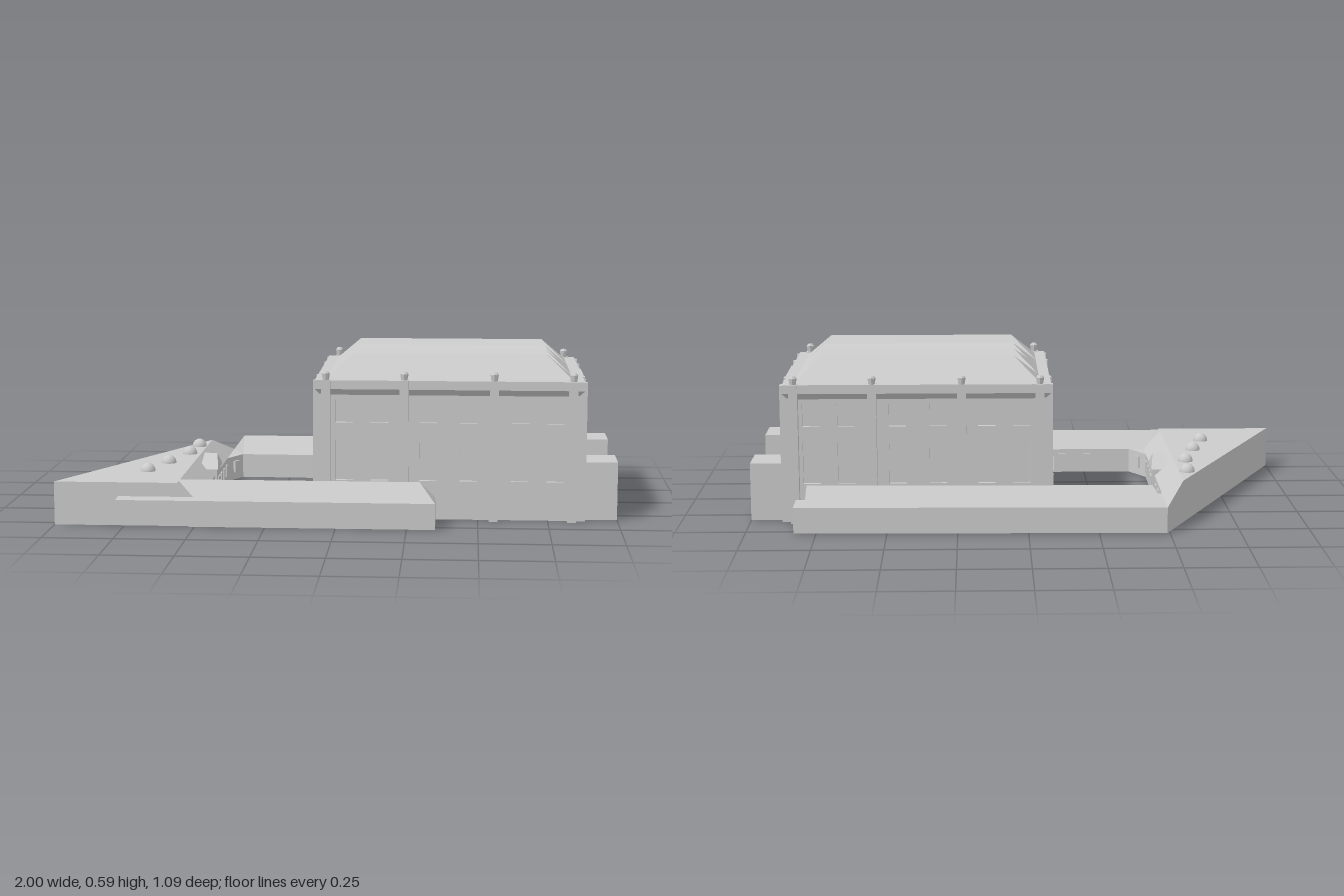
import * as THREE from 'three';

const mat = new THREE.MeshStandardMaterial({ color: 0xcccccc, flatShading: true });
const smooth = new THREE.MeshStandardMaterial({ color: 0xcccccc });

function add(parent, name, geo, x = 0, y = 0, z = 0, material = mat) {
  const m = new THREE.Mesh(geo, material);
  m.name = name;
  m.position.set(x, y, z);
  parent.add(m);
  return m;
}

// Box given by its limits
function box(parent, name, x0, x1, y0, y1, z0, z1) {
  return add(parent, name, new THREE.BoxGeometry(x1 - x0, y1 - y0, z1 - z0),
    (x0 + x1) / 2, (y0 + y1) / 2, (z0 + z1) / 2);
}

// Flat faces, each a counter-clockwise list of [x, y, z], cut as a fan
function facets(faces) {
  const pos = [];
  for (const f of faces)
    for (let i = 1; i < f.length - 1; i++) pos.push(...f[0], ...f[i], ...f[i + 1]);
  const g = new THREE.BufferGeometry();
  g.setAttribute('position', new THREE.Float32BufferAttribute(pos, 3));
  g.computeVertexNormals();
  return g;
}

// Roof from four eave corners (front left, front right, back right, back left) and two ridge ends
const hipRoof = (A, B, C, D, P, Q) => facets([[A, B, Q, P], [C, D, P, Q], [B, C, Q], [D, A, P], [D, C, B, A]]);

// Hipped roof along x over a [z, y] section listed front to back; apex starts the end fans
function sectionRoof(section, apex) {
  const k = 1.1, base = 0.5;
  const L = section.map(([z, y]) => [-0.05 + (y - base) * k, y, z]);
  const R = section.map(([z, y]) => [0.84 - (y - base) * k, y, z]);
  const faces = [];
  for (let i = 0; i < section.length - 1; i++) faces.push([L[i], R[i], R[i + 1], L[i + 1]]);
  const turn = a => [...a.slice(apex), ...a.slice(0, apex)];
  const right = turn(R), left = turn(L);
  // ends run front-eave, back-eave, then over the ridges
  faces.push([right[0], ...right.slice(1).reverse()], left);
  return facets(faces);
}

// Wall panel with square upper and arched lower window openings
function facade(length, centres) {
  const s = new THREE.Shape();
  s.moveTo(-length / 2, 0).lineTo(length / 2, 0).lineTo(length / 2, 0.46).lineTo(-length / 2, 0.46).closePath();
  const w = 0.031;
  for (const c of centres) {
    const sq = new THREE.Path();
    sq.moveTo(c - w, 0.35).lineTo(c - w, 0.432).lineTo(c + w, 0.432).lineTo(c + w, 0.35).closePath();
    const arch = new THREE.Path();
    arch.moveTo(c - w, 0.14).lineTo(c + w, 0.14).lineTo(c + w, 0.283);
    arch.absarc(c, 0.283, w, 0, Math.PI, false);
    arch.closePath();
    s.holes.push(sq, arch);
  }
  return new THREE.ExtrudeGeometry(s, { depth: 0.014, bevelEnabled: false, curveSegments: 8 });
}

function buildHouse() {
  const g = new THREE.Group();
  g.name = 'mainBuilding';
  box(g, 'core', -0.051, 0.841, 0, 0.5, -0.341, 0.341);

  // Window walls on all four sides
  const cx = 0.395;
  const longWin = [0.02, 0.145, 0.32, 0.465, 0.65, 0.775].map(x => x - cx);
  const endWin = [-0.26, -0.13, 0, 0.13, 0.26];
  add(g, 'frontWall', facade(0.92, longWin), cx, 0, 0.341);
  add(g, 'backWall', facade(0.92, longWin.map(x => -x)), cx, 0, -0.341).rotation.y = Math.PI;
  add(g, 'leftWall', facade(0.71, endWin), 0.841, 0, 0).rotation.y = Math.PI / 2;
  add(g, 'rightWall', facade(0.71, endWin), -0.051, 0, 0).rotation.y = -Math.PI / 2;
  add(g, 'centreBay', facade(0.33, [-0.13, 0, 0.13]), 0.868, 0, 0).rotation.y = Math.PI / 2;
  box(g, 'centreBayBacking', 0.85, 0.869, 0, 0.46, -0.164, 0.164);
  box(g, 'centreBayParapet', 0.84, 0.89, 0.45, 0.485, -0.165, 0.165);

  // Cornice flaring out to the parapet
  const ring = (x0, x1, z, y) => [[x0, y, z], [x1, y, z], [x1, y, -z], [x0, y, -z]];
  const lo = ring(-0.065, 0.855, 0.355, 0.45), hi = ring(-0.085, 0.875, 0.372, 0.472);
  add(g, 'cornice', facets(lo.map((p, i) => [p, lo[(i + 1) % 4], hi[(i + 1) % 4], hi[i]])));
  box(g, 'parapet', -0.085, 0.875, 0.472, 0.504, -0.372, 0.372);

  // Pilasters with finials on the long sides, plain ones on the ends
  for (const s of [-1, 1]) {
    for (const x of [-0.045, 0.235, 0.555, 0.835]) {
      box(g, 'pilaster', x - 0.016, x + 0.016, 0, 0.506, s * 0.367 - 0.019, s * 0.367 + 0.019);
      add(g, 'finialShaft', new THREE.CylinderGeometry(0.015, 0.011, 0.024, 8), x, 0.517, s * 0.37);
      add(g, 'finialCap', new THREE.CylinderGeometry(0.009, 0.015, 0.008, 8), x, 0.532, s * 0.37);
    }
    for (const z of [0.342, 0.182]) {
      const c = s * z;
      box(g, 'endPilaster', 0.85, 0.885, 0, 0.5, c - 0.016, c + 0.016);
      box(g, 'endPilaster', -0.092, -0.06, 0, 0.5, c - 0.016, c + 0.016);
    }
    // Square annexes at the end
    const m = s * 0.252;
    box(g, 'annex', 0.85, 1, 0, 0.21, m - 0.077, m + 0.077);
  }

  // Gabled entrance porch with a framed door
  box(g, 'porch', -0.105, -0.06, 0, 0.12, -0.05, 0.05);
  add(g, 'porchRoof', hipRoof([-0.108, 0.12, 0.054], [-0.06, 0.12, 0.054], [-0.06, 0.12, -0.054],
    [-0.108, 0.12, -0.054], [-0.108, 0.16, 0], [-0.06, 0.16, 0]));
  box(g, 'porchDoor', -0.109, -0.1, 0, 0.09, -0.025, 0.025);

  // Two outer hipped roofs and the double roof between
  add(g, 'frontRoof', sectionRoof([[0.33, 0.504], [0.252, 0.588], [0.17, 0.504]], 1));
  add(g, 'middleRoof', sectionRoof([[0.165, 0.504], [0.065, 0.585], [0, 0.54], [-0.065, 0.585], [-0.16, 0.504]], 2));
  add(g, 'backRoof', sectionRoof([[-0.16, 0.504], [-0.245, 0.588], [-0.335, 0.504]], 1));
  return g;
}

// Extruded footprint of [x, z] points
function footprint(points, height) {
  const s = new THREE.Shape(points.map(([x, z]) => new THREE.Vector2(x, -z)));
  return new THREE.ExtrudeGeometry(s, { depth: height, bevelEnabled: false }).rotateX(-Math.PI / 2);
}

function buildCourt() {
  const g = new THREE.Group();
  g.name = 'courtyardRanges';
  const eave = 0.093, top = 0.155, ridge = 0.16;

  // Triangular block with a splayed court side
  add(g, 'triangleBase', footprint([[-1, 0.53], [-0.43, 0.53], [-0.43, 0.43], [-0.49, 0.33],
    [-0.49, -0.33], [-0.44, -0.43], [-0.44, -0.5], [-0.49, -0.55]], eave));
  const a = [-1, eave, 0.53], b = [-0.49, eave, 0.53], c = [-0.49, eave, -0.55];
  const A = [-1, top, 0.53], B = [-0.56, top, 0.53], C = [-0.56, top, -0.402];
  add(g, 'triangleRoof', facets([[a, b, B, A], [b, c, C, B], [c, a, A, C], [A, B, C]]));
  for (const [x, z] of [[-0.59, -0.25], [-0.602, -0.075], [-0.652, 0.125], [-0.702, 0.298]]) {
    const d = add(g, 'skylightDome',
      new THREE.SphereGeometry(0.028, 16, 6, 0, Math.PI * 2, 0, Math.PI / 2), x, top, z, smooth);
    d.scale.y = 1.05;
  }

  // Gatehouse with a small gable
  box(g, 'gatehouse', -0.54, -0.482, 0, 0.125, -0.05, 0.05);
  add(g, 'gatehouseRoof', hipRoof([-0.545, 0.12, 0.065], [-0.476, 0.12, 0.065], [-0.476, 0.12, -0.065],
    [-0.545, 0.12, -0.065], [-0.535, 0.172, 0], [-0.486, 0.172, 0]));
  box(g, 'gateDoor', -0.486, -0.478, 0, 0.085, -0.025, 0.025);

  // Front wing
  box(g, 'frontWing', -0.52, 0.35, 0, eave, 0.43, 0.54);
  add(g, 'frontWingRoof', hipRoof([-0.78, eave, 0.54], [0.35, eave, 0.54], [0.35, eave, 0.43],
    [-0.78, eave, 0.43], [-0.735, ridge, 0.485], [0.295, ridge, 0.485]));

  // Back wing, slightly skewed
  add(g, 'backWing', footprint([[-0.49, -0.55], [-0.44, -0.43], [0.83, -0.405], [0.83, -0.522]], eave));
  add(g, 'backWingRoof', hipRoof([-0.44, eave, -0.43], [0.79, eave, -0.406], [0.79, eave, -0.523],
    [-0.49, eave, -0.55], [-0.44, ridge, -0.49], [0.785, ridge, -0.465]));

  // Small windows facing the court
  for (const z of [-0.28, -0.2, -0.12, 0.12, 0.2, 0.28])
    box(g, 'courtWindow', -0.495, -0.484, 0.03, 0.075, z - 0.015, z + 0.015);
  for (let x = -0.36; x < 0.3; x += 0.1)
    box(g, 'courtWindow', x - 0.015, x + 0.015, 0.03, 0.075, 0.424, 0.435);
  for (const s of [-1, 1]) {
    const w = add(g, 'splayWindow', new THREE.BoxGeometry(0.03, 0.045, 0.012), -0.461, 0.0525, s * 0.38);
    w.rotation.y = s * -1.03;
  }
  return g;
}

export function createModel() {
  const model = new THREE.Group();
  model.name = 'palaceWithCourtyard';
  model.add(buildHouse(), buildCourt());
  return model;
}
